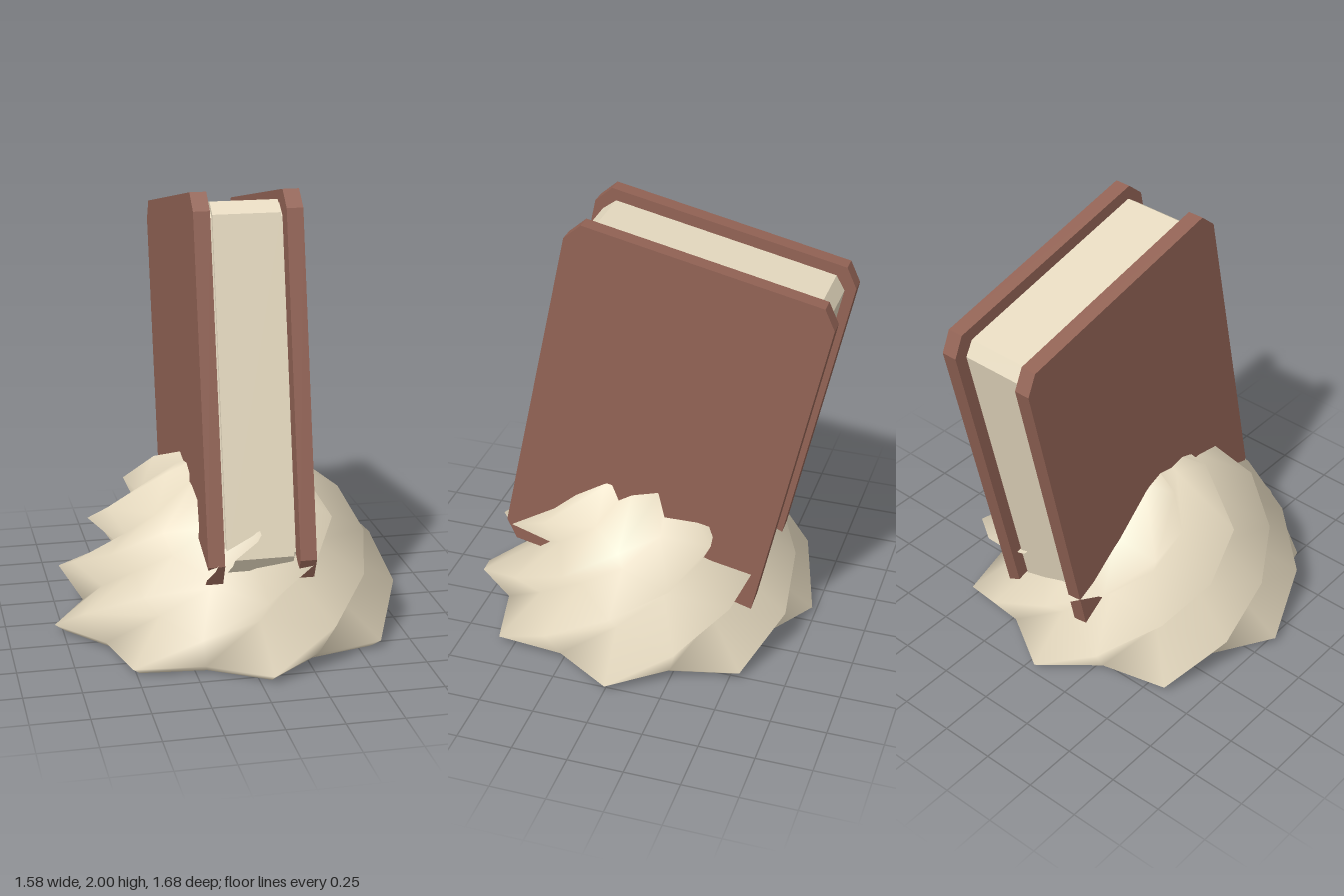
import * as THREE from 'three';

const coverMat = new THREE.MeshStandardMaterial({ color: 0x926355, flatShading: true });
const pageMat = new THREE.MeshStandardMaterial({ color: 0xe6dac0, flatShading: true });
const moundMat = new THREE.MeshStandardMaterial({ color: 0xe6dac0, side: THREE.DoubleSide });

// Upright slab with chamfered corners, lying in the z-y plane from x0 to x1
function slab(name, w, h, cw, ch, x0, x1, material) {
  const s = new THREE.Shape([
    [w - cw, h], [-w + cw, h], [-w, h - ch], [-w, -h + ch],
    [-w + cw, -h], [w - cw, -h], [w, -h + ch], [w, h - ch],
  ].map(([x, y]) => new THREE.Vector2(x, y)));
  const g = new THREE.ExtrudeGeometry(s, { depth: x1 - x0, bevelEnabled: false });
  g.rotateY(-Math.PI / 2).translate(x1, 0, 0);
  const m = new THREE.Mesh(g, material);
  m.name = name;
  return m;
}

// Hollow dome of eight-pointed rings; each ring turns half a point on from
// the one below, so its crests join into steep spiral ridges
function makeMound() {
  // height, crest radius, valley radius, turned half a point
  const rings = [
    [0, 0.74, 0.62, 0], [0.035, 0.79, 0.66, 0], [0.2, 0.77, 0.57, 1], [0.33, 0.7, 0.5, 0],
    [0.44, 0.63, 0.46, 1], [0.57, 0.54, 0.39, 0], [0.75, 0.32, 0.22, 1], [0.82, 0, 0, 0],
  ];
  const n = 16, start = THREE.MathUtils.degToRad(-4);
  const pos = [], idx = [];
  rings.forEach(([y, crest, valley, turned], k) => {
    for (let i = 0; i < n; i++) {
      const a = start + (i / n) * Math.PI * 2;
      const r = (i + turned) % 2 === 0 ? crest : valley;
      pos.push(r * Math.cos(a), y, 0.05 + r * Math.sin(a));
      if (k === 0) continue;
      const j = (i + 1) % n, lo = (k - 1) * n, hi = k * n;
      idx.push(lo + i, hi + i, lo + j, lo + j, hi + i, hi + j);
    }
  });
  const g = new THREE.BufferGeometry();
  g.setAttribute('position', new THREE.Float32BufferAttribute(pos, 3));
  g.setIndex(idx);
  g.computeVertexNormals();
  const m = new THREE.Mesh(g, moundMat);
  m.name = 'mound';
  return m;
}

export function createModel() {
  const root = new THREE.Group();
  root.name = 'bookInMound';

  // Leaning book: two covers around a page block
  const book = new THREE.Group();
  book.name = 'book';
  book.position.set(0, 1.073, -0.104);
  book.rotation.x = -THREE.MathUtils.degToRad(12.1);
  book.add(
    slab('rightCover', 0.595, 0.831, 0.062, 0.083, -0.19, -0.118, coverMat),
    slab('leftCover', 0.595, 0.831, 0.062, 0.083, 0.21, 0.282, coverMat),
    slab('pages', 0.55, 0.79, 0.05, 0.057, -0.1, 0.195, pageMat),
    slab('pageCore', 0.535, 0.775, 0.05, 0.057, -0.112, 0.205, pageMat),
  );
  root.add(book, makeMound());
  return root;
}
